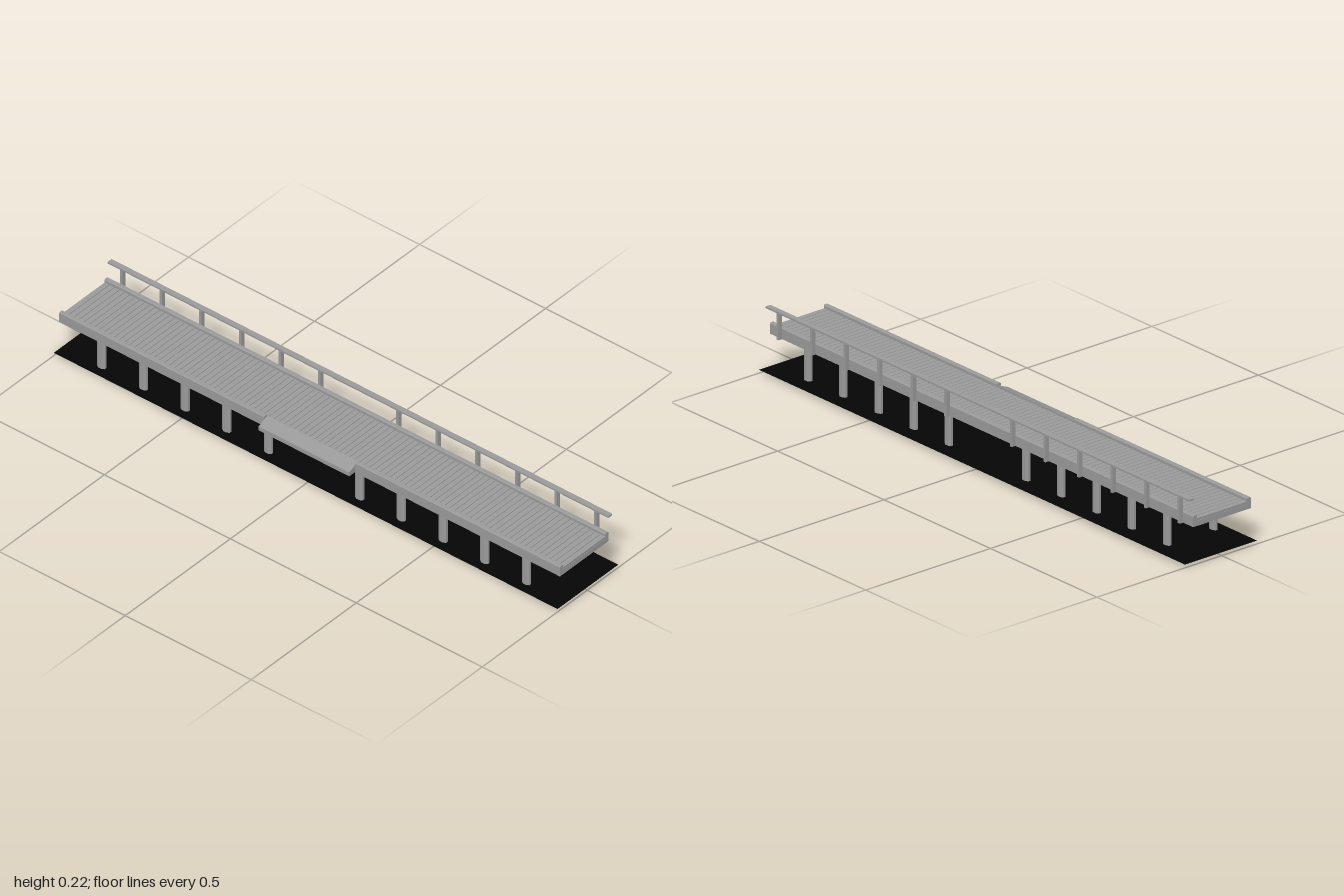
import * as THREE from 'three';

const grey = new THREE.MeshStandardMaterial({ color: 0x999999 });
grey.name = 'weathered grey';
const black = new THREE.MeshStandardMaterial({ color: 0x050505, side: THREE.DoubleSide });
black.name = 'dark water';

const HALF = 0.994;       // half length of the deck
const RAMP = 0.18;        // half length of the boarding ramp

export function createModel() {
  const model = new THREE.Group();

  function add(name, geometry, material = grey) {
    const mesh = new THREE.Mesh(geometry, material);
    mesh.name = name;
    model.add(mesh);
    return mesh;
  }

  // Box given by its limits on each axis
  function box(name, x0, x1, y0, y1, z0, z1) {
    const mesh = add(name, new THREE.BoxGeometry(x1 - x0, y1 - y0, z1 - z0));
    mesh.position.set((x0 + x1) / 2, (y0 + y1) / 2, (z0 + z1) / 2);
    return mesh;
  }

  // Profile of [z, y] points swept along x
  function sweep(name, points, x0, x1) {
    const shape = new THREE.Shape(points.map(([z, y]) => new THREE.Vector2(-z, y)));
    const geometry = new THREE.ExtrudeGeometry(shape, { depth: x1 - x0, bevelEnabled: false });
    geometry.rotateY(Math.PI / 2).translate(x0, 0, 0);
    return add(name, geometry);
  }

  // Curb with bevelled top edges
  function curb(name, z0, z1, x0, x1) {
    const b = 0.003;
    sweep(name, [[z0, 0.122], [z1, 0.122], [z1, 0.156], [z1 - b, 0.159], [z0 + b, 0.159], [z0, 0.156]], x0, x1);
  }

  // Flat surface under the jetty
  const water = add('waterSurface', new THREE.PlaneGeometry(2, 0.289), black);
  water.rotation.x = -Math.PI / 2;
  water.position.set(0, 0.011, -0.003);

  // Deck base and cross planks
  box('deckBase', -HALF, HALF, 0.122, 0.139, -0.093, 0.107);
  const planks = 100, pitch = (2 * HALF) / planks;
  for (let i = 0; i < planks; i++) {
    const x = -HALF + i * pitch;
    box('plank', x + 0.001, x + pitch - 0.001, 0.138, 0.147, -0.093, 0.107);
  }

  // Curbs, the front one interrupted by the ramp
  curb('backCurb', -0.109, -0.093, -HALF, HALF);
  curb('frontCurb', 0.107, 0.123, -HALF, -RAMP);
  curb('frontCurb', 0.107, 0.123, RAMP, HALF);
  sweep('boardingRamp', [[0.107, 0.122], [0.15, 0.122], [0.15, 0.137], [0.123, 0.148], [0.107, 0.154]], -RAMP, RAMP);

  // Octagonal piles in two rows, mirrored about the middle
  const pileGeometry = new THREE.CylinderGeometry(1, 1, 0.122, 8).toNonIndexed();
  pileGeometry.rotateY(Math.PI / 8).scale(0.0165, 1, 0.0105);
  pileGeometry.computeVertexNormals();
  for (const side of [-1, 1]) {
    for (let i = 0; i < 5; i++) {
      for (const z of [0.101, -0.085]) {
        const pile = add('pile', pileGeometry);
        pile.position.set(side * (0.181 + i * 0.1655), 0.061, z);
      }
    }
  }

  // Handrail along the back
  for (const side of [-1, 1]) {
    for (let i = 0; i < 6; i++) {
      const x = side * (0.154 + i * 0.1575);
      box('railPost', x - 0.005, x + 0.005, 0.122, 0.212, -0.123, -0.109);
    }
  }
  box('handrail', -HALF, HALF, 0.211, 0.217, -0.126, -0.107);

  return model;
}
